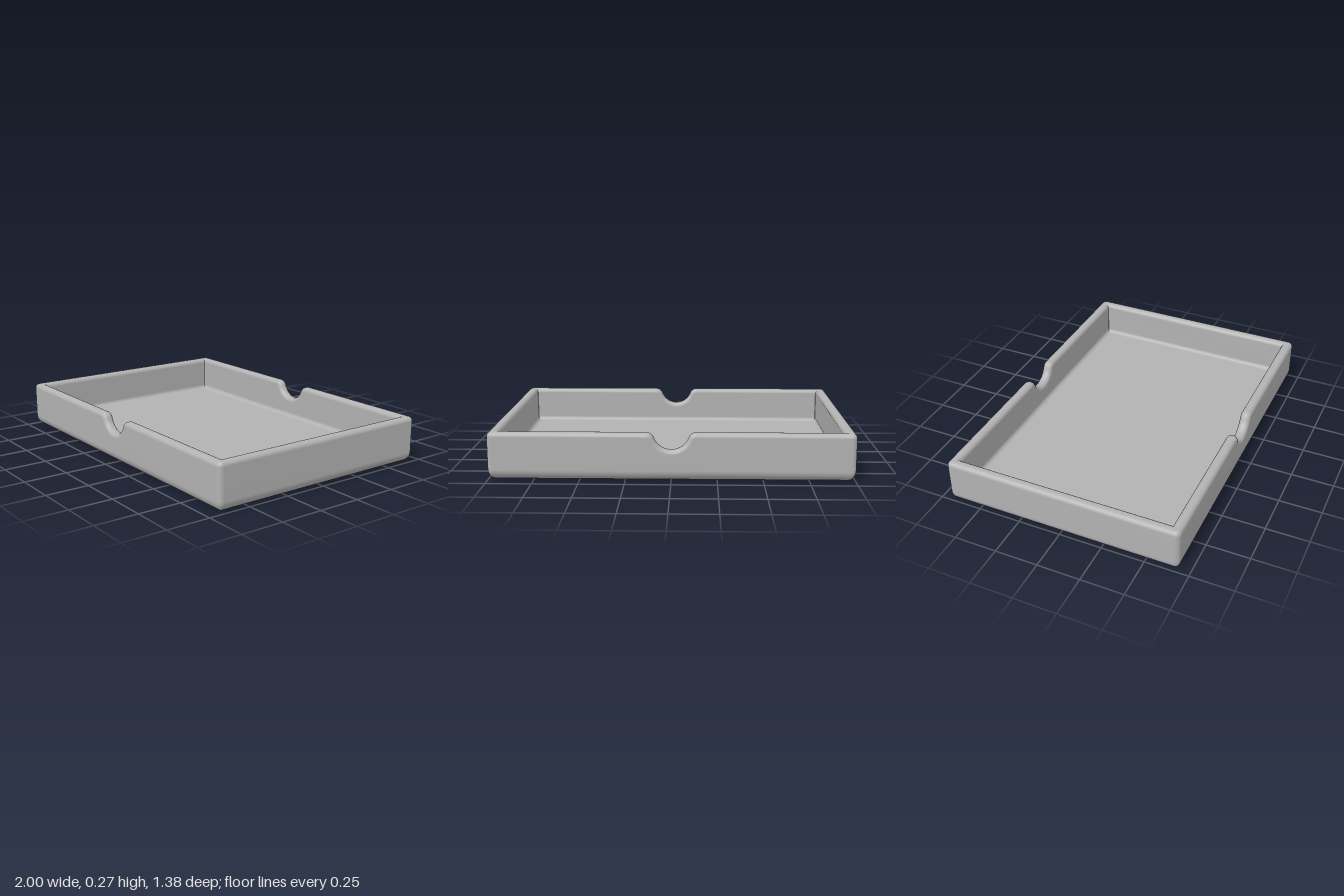
import * as THREE from 'three';

const HX = 1, HZ = 0.692, H = 0.267;      // half sizes and rim height
const WALL = 0.062, FLOOR = 0.055;        // wall and floor thickness
const CORNER = 0.03, RIM = 0.026, FOOT = 0.06, FILLET = 0.025;

// Finger notch outline, right to left: x, y and its normal
function notchOutline() {
  const R = 0.1, s = 0.044, tMax = THREE.MathUtils.degToRad(70);
  const edge = (R + s) * Math.sin(tMax), low = H - (R + s) * (1 - Math.cos(tMax));
  const half = [];
  for (let i = 0; i <= 8; i++) {           // rounded shoulder
    const t = tMax * i / 8;
    half.push({ x: edge - s * Math.sin(t), y: H - s + s * Math.cos(t), nx: -Math.sin(t), ny: Math.cos(t) });
  }
  for (let i = 9; i >= 0; i--) {           // bowl
    const t = tMax * i / 10;
    half.push({ x: R * Math.sin(t), y: low + R * (1 - Math.cos(t)), nx: -Math.sin(t), ny: Math.cos(t) });
  }
  const mirrored = half.slice(0, -1).reverse().map(p => ({ ...p, x: -p.x, nx: -p.nx }));
  return [...half, ...mirrored];
}

// Columns around the tray: four rounded corners with a notched side after the 1st and 3rd
function perimeter() {
  const columns = [], notch = notchOutline();
  for (let q = 0; q < 4; q++) {
    const sx = q === 0 || q === 3 ? 1 : -1, sz = q < 2 ? 1 : -1;
    for (let i = 0; i <= 6; i++) columns.push({ sx, sz, angle: (q + i / 6) * Math.PI / 2 });
    if (q % 2 === 0) {
      for (const p of notch) columns.push({ sz, x: sz * p.x, y: p.y, nx: sz * p.nx, ny: p.ny });
    }
  }
  return columns;
}

// Wall section from under the floor, up the outside, over the rim and down to the floor.
// d = distance inward; y = fixed height, or drop = distance below the rim outline
function wallSection() {
  const rows = [{ centre: true, y: 0 }], arc = (n, f) => {
    for (let i = 0; i <= n; i++) {
      const a = i / n * Math.PI / 2;
      rows.push(f(Math.sin(a), Math.cos(a)));
    }
  };
  arc(8, (s, c) => ({ d: FOOT * (1 - s), y: FOOT * (1 - c) }));
  arc(6, (s, c) => ({ d: RIM * (1 - c), drop: RIM * (1 - s) }));
  arc(6, (s, c) => ({ d: WALL - RIM * (1 - s), drop: RIM * (1 - c) }));
  arc(5, (s, c) => ({ d: WALL + FILLET * (1 - c), y: FLOOR + FILLET * (1 - s) }));
  rows.push({ centre: true, y: FLOOR });
  return rows;
}

function place(row, col) {
  if (row.centre) return [0, row.y, 0];
  const { d, drop } = row;
  if (col.angle !== undefined) {
    const r = Math.max(CORNER - d, 0.004);
    return [
      col.sx * (HX - d - r) + r * Math.cos(col.angle),
      drop === undefined ? row.y : H - drop,
      col.sz * (HZ - d - r) + r * Math.sin(col.angle),
    ];
  }
  const z = col.sz * (HZ - d);
  return drop === undefined ? [col.x, row.y, z] : [col.x - col.nx * drop, col.y - col.ny * drop, z];
}

function trayGeometry() {
  const rows = wallSection(), cols = perimeter(), n = cols.length;
  const positions = [], index = [];
  for (const row of rows) for (const col of cols) positions.push(...place(row, col));
  for (let r = 0; r < rows.length - 1; r++) {
    for (let c = 0; c < n; c++) {
      const a = r * n + c, b = r * n + (c + 1) % n;
      if (!rows[r + 1].centre) index.push(a, a + n, b + n);
      else index.push(a, a + n, b);
      if (!rows[r].centre && !rows[r + 1].centre) index.push(a, b + n, b);
    }
  }
  const geometry = new THREE.BufferGeometry();
  geometry.setAttribute('position', new THREE.Float32BufferAttribute(positions, 3));
  geometry.setIndex(index);
  geometry.computeVertexNormals();
  return geometry;
}

export function createModel() {
  const group = new THREE.Group();
  group.name = 'notchedTray';
  const grey = new THREE.MeshStandardMaterial({ color: 0xb2b2b2 });
  grey.name = 'light grey';
  const tray = new THREE.Mesh(trayGeometry(), grey);
  tray.name = 'tray';
  group.add(tray);
  return group;
}
